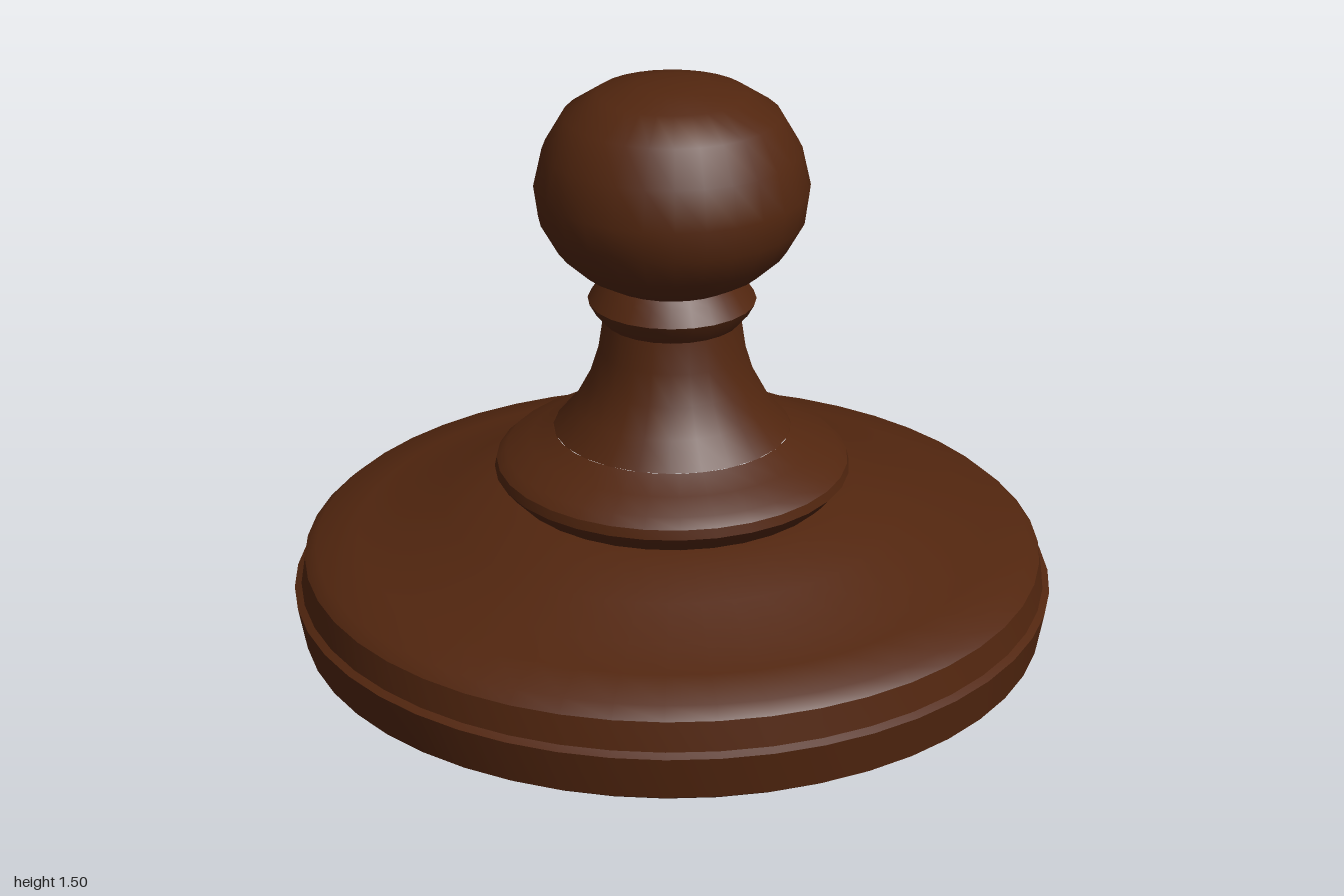
import * as THREE from 'three';
import { toCreasedNormals } from 'three/addons/utils/BufferGeometryUtils.js';

export function createModel() {
  const model = new THREE.Group();
  model.name = 'pawnKnob';

  const darkWood = new THREE.MeshStandardMaterial({ color: 0x52260f });
  darkWood.name = 'darkWood';

  // Each part is a turned profile of [radius, height] points, bottom to top
  const turn = (name, profile, segments) => {
    const points = profile.map(([r, y]) => new THREE.Vector2(r, y));
    const geometry = toCreasedNormals(new THREE.LatheGeometry(points, segments), 0.6);
    const mesh = new THREE.Mesh(geometry, darkWood);
    mesh.name = name;
    model.add(mesh);
  };

  // Wide round foot with a stepped rim and a gently sloping top
  turn('base', [
    [0, 0], [0.6, 0.003], [0.95, 0.015], [0.98, 0.035], [1, 0.15], [0.982, 0.16],
    [0.97, 0.235], [0.94, 0.262], [0.83, 0.283], [0.72, 0.312], [0.6, 0.357],
    [0.48, 0.402], [0.42, 0.412],
  ], 48);

  // Overhanging collar at the foot of the neck
  turn('collar', [
    [0.42, 0.41], [0.44, 0.43], [0.465, 0.46], [0.46, 0.485], [0.435, 0.508],
    [0.37, 0.533], [0.31, 0.57],
  ], 32);

  // Concave neck
  turn('neck', [
    [0.31, 0.57], [0.255, 0.635], [0.215, 0.71], [0.19, 0.79], [0.178, 0.87],
  ], 24);

  // Narrow ring below the ball
  turn('neckRing', [
    [0.178, 0.87], [0.2, 0.895], [0.217, 0.925], [0.19, 0.965], [0.175, 0.985],
  ], 24);

  // Slightly flattened ball on top
  turn('ball', [
    [0.17, 0.98], [0.235, 1.015], [0.295, 1.07], [0.34, 1.15], [0.351, 1.23],
    [0.328, 1.33], [0.275, 1.42], [0.19, 1.475], [0.09, 1.498], [0, 1.503],
  ], 28);

  return model;
}
